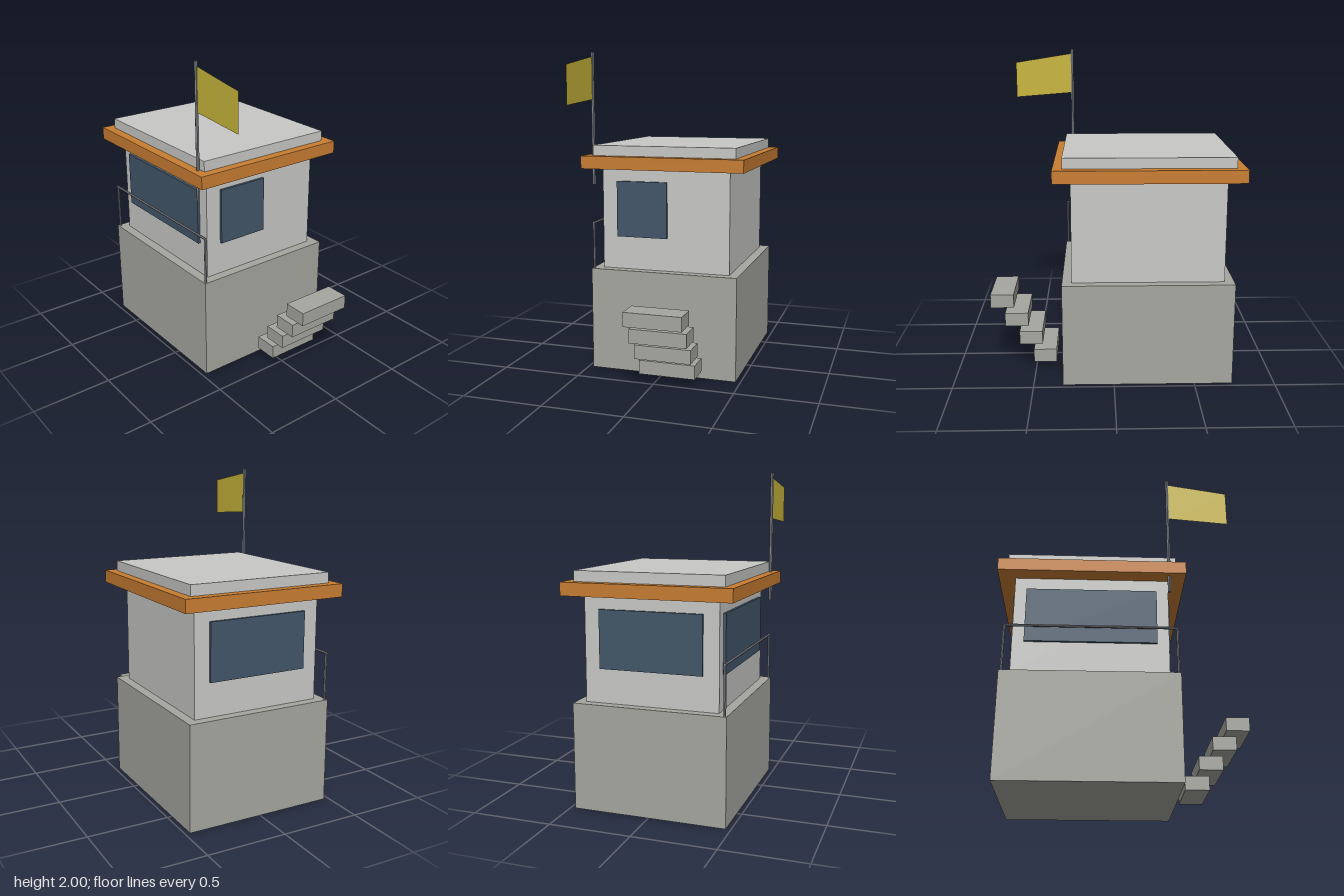
import * as THREE from 'three';

const material = (name, color) => {
  const m = new THREE.MeshStandardMaterial({ color });
  m.name = name;
  return m;
};

export function createModel() {
  const model = new THREE.Group();
  model.name = 'lookoutHut';

  const concrete = material('concrete grey', 0xa6a6a0);
  const wall = material('pale grey', 0xc8c8c6);
  const trim = material('orange', 0xc87d32);
  const glass = material('dark blue glass', 0x425669);
  const metal = material('metal grey', 0x84868c);
  const cloth = material('yellow cloth', 0xc9b63c);
  cloth.side = THREE.DoubleSide;

  const add = (name, geometry, mat, x, y, z) => {
    const mesh = new THREE.Mesh(geometry, mat);
    mesh.name = name;
    mesh.position.set(x, y, z);
    model.add(mesh);
    return mesh;
  };
  // Box given by its minimum and maximum corners
  const box = (name, mat, [x0, y0, z0], [x1, y1, z1]) =>
    add(name, new THREE.BoxGeometry(x1 - x0, y1 - y0, z1 - z0), mat,
      (x0 + x1) / 2, (y0 + y1) / 2, (z0 + z1) / 2);
  // Six-sided bar
  const bar = (name, radius, length, x, y, z) =>
    add(name, new THREE.CylinderGeometry(radius, radius, length, 6).toNonIndexed(), metal, x, y, z);

  // Building
  box('base', concrete, [-0.736, 0, -0.47], [0.318, 0.65, 0.47]);
  box('cabin', wall, [-0.677, 0.65, -0.41], [0.259, 1.287, 0.41]);
  box('roofEaves', trim, [-0.779, 1.287, -0.514], [0.363, 1.366, 0.514]);
  box('roofSlab', wall, [-0.721, 1.366, -0.455], [0.306, 1.43, 0.455]);

  // Windows
  box('frontWindow', glass, [-0.605, 0.857, 0.4], [0.187, 1.207, 0.426]);
  box('leftWindow', glass, [0.25, 0.857, -0.014], [0.275, 1.207, 0.312]);
  box('rightWindow', glass, [-0.692, 0.857, -0.315], [-0.668, 1.207, 0.315]);

  // Front railing
  for (const x of [-0.722, 0.304]) bar('railPost', 0.008, 0.295, x, 0.7975, 0.456);
  bar('railBar', 0.008, 1.042, -0.209, 0.942, 0.456).rotation.z = Math.PI / 2;

  // Floating steps
  for (let i = 0; i < 4; i++) {
    const x = 0.364 + i * 0.0887, y = 0.061 + i * 0.1245;
    box('step', concrete, [x, y, -0.265], [x + 0.146, y + 0.086, 0.086]);
  }

  // Flagpole and tapered flag
  bar('flagpole', 0.0108, 0.82, 0.262, 1.59, 0.469);
  const flag = new THREE.Shape([[0.27, 1.71], [0.641, 1.68], [0.641, 1.913], [0.27, 1.972]]
    .map(([x, y]) => new THREE.Vector2(x, y)));
  add('flag', new THREE.ShapeGeometry(flag), cloth, 0, 0, 0.469);

  // Crisp facets on the bars
  model.traverse((o) => {
    if (o.isMesh && o.material === metal) o.geometry.computeVertexNormals();
  });
  return model;
}
